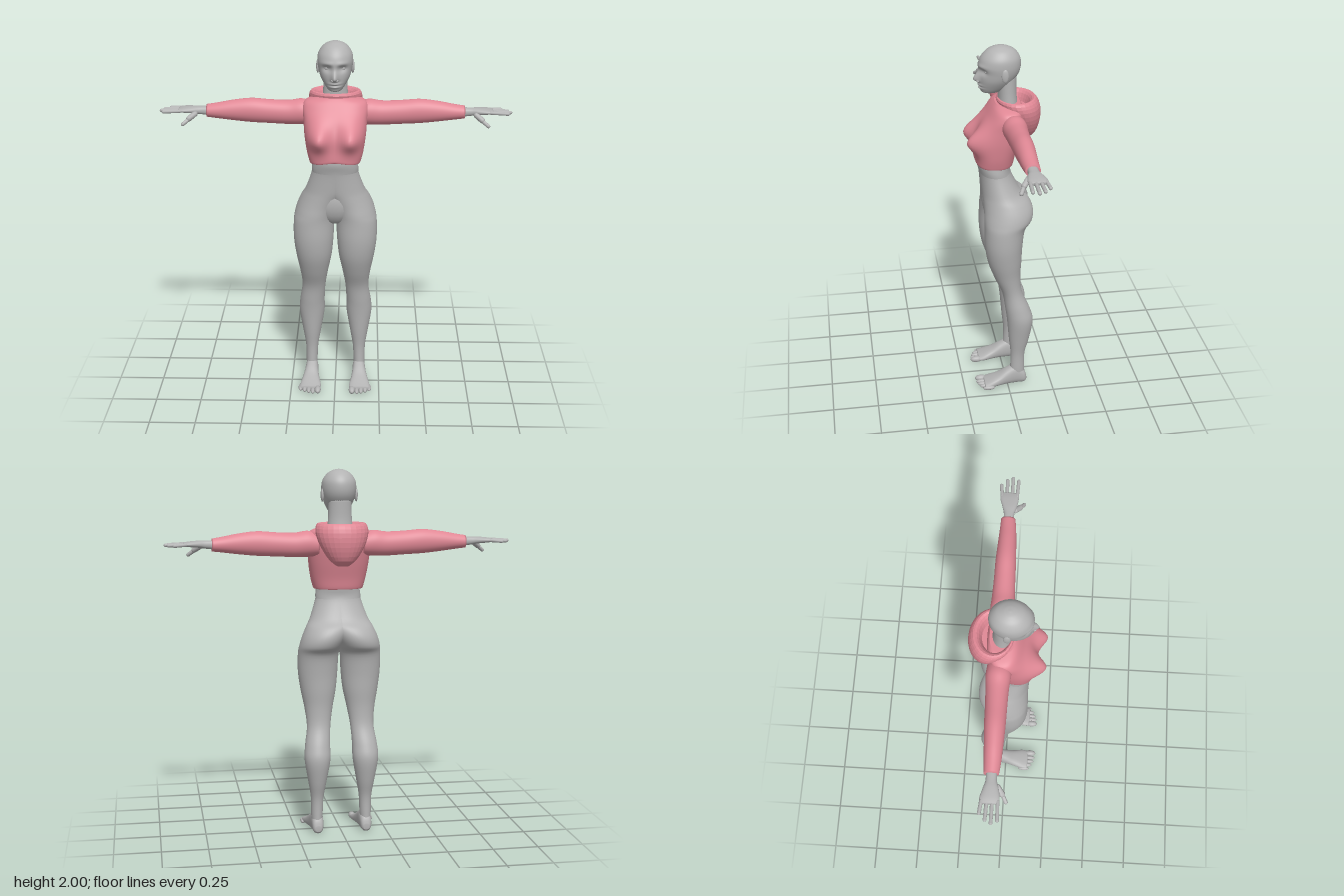
import * as THREE from 'three';

const skin = new THREE.MeshStandardMaterial({ color: 0xb3b3b3 });
skin.name = 'grey body';
const cloth = new THREE.MeshStandardMaterial({ color: 0xe08895 });
cloth.name = 'pink cloth';

// Axis maps from (along, a, b) to x, y, z
const MAP = {
  x: (t, a, b) => [t, a, b], // a = y, b = z
  y: (t, a, b) => [b, t, a], // a = z, b = x
  z: (t, a, b) => [a, b, t], // a = x, b = y
};
const bump = (d, s) => Math.exp(-((d / s) ** 2));

// Smooth closed loft through sections [along, aMin, aMax, bMin, bMax]
function loft(axis, sections, { seg = 36, sub = 5, power = 2, rule } = {}) {
  const at = (i) => sections[Math.min(Math.max(i, 0), sections.length - 1)];
  const rows = [];
  for (let i = 0; i < sections.length - 1; i++) {
    const [p, q, r, s] = [at(i - 1), at(i), at(i + 1), at(i + 2)];
    for (let k = 0; k < sub; k++) {
      const u = k / sub;
      rows.push(q.map((v, c) => v + 0.5 * u * (r[c] - p[c] + u * (2 * p[c] - 5 * v + 4 * r[c] - s[c]
        + u * (3 * (v - r[c]) + s[c] - p[c])))));
    }
  }
  rows.push(at(sections.length));
  // collapsed rings close both ends
  const cap = ([t, a, b, c, d]) => [t, (a + b) / 2, (a + b) / 2, (c + d) / 2, (c + d) / 2];
  rows.unshift(cap(rows[0]));
  rows.push(cap(rows[rows.length - 1]));
  const pos = [], index = [];
  const pw = (v) => Math.sign(v) * Math.abs(v) ** (2 / power);
  rows.forEach(([t, a0, a1, b0, b1], i) => {
    for (let j = 0; j < seg; j++) {
      const w = (j / seg) * Math.PI * 2;
      const a = (a0 + a1) / 2 + pw(Math.cos(w)) * (a1 - a0) / 2;
      const b = (b0 + b1) / 2 + pw(Math.sin(w)) * (b1 - b0) / 2;
      const v = MAP[axis](t, a, b);
      if (rule) rule(v);
      pos.push(...v);
      if (i === rows.length - 1) continue;
      const n = (j + 1) % seg, p = i * seg, q = p + seg;
      index.push(p + j, p + n, q + n, p + j, q + n, q + j);
    }
  });
  const g = new THREE.BufferGeometry();
  g.setAttribute('position', new THREE.Float32BufferAttribute(pos, 3));
  g.setIndex(index);
  g.computeVertexNormals();
  return g;
}

function ball(x, y, z, rx, ry, rz) {
  return new THREE.SphereGeometry(1, 18, 12).scale(rx, ry, rz).translate(x, y, z);
}

// Rounded finger between two points
function finger(from, to, r) {
  const a = new THREE.Vector3(...from), b = new THREE.Vector3(...to), d = b.clone().sub(a);
  const g = new THREE.CapsuleGeometry(r, d.length() - r, 5, 10);
  g.applyQuaternion(new THREE.Quaternion().setFromUnitVectors(new THREE.Vector3(0, 1, 0), d.clone().normalize()));
  const m = a.add(b).multiplyScalar(0.5);
  return g.translate(m.x, m.y, m.z);
}

function mirrored(g) {
  const m = g.clone().scale(-1, 1, 1);
  const ix = m.index.array;
  for (let i = 0; i < ix.length; i += 3) [ix[i], ix[i + 1]] = [ix[i + 1], ix[i]];
  m.computeVertexNormals();
  return m;
}

export function createModel() {
  const model = new THREE.Group();
  model.name = 'figure';
  const add = (name, g, mat) => {
    const mesh = new THREE.Mesh(g, mat);
    mesh.name = name;
    model.add(mesh);
  };
  const pair = (name, g, mat) => {
    add('left' + name, g, mat);
    add('right' + name, mirrored(g), mat);
  };

  // Each leg runs up through its half of the hips to the waist
  pair('LegAndHip', loft('y', [
    [0.05, -0.1, -0.02, 0.11, 0.165], [0.1, -0.098, -0.018, 0.105, 0.168],
    [0.2, -0.1, -0.02, 0.1, 0.17], [0.3, -0.125, -0.01, 0.083, 0.186],
    [0.42, -0.145, 0, 0.063, 0.205], [0.5, -0.125, 0.01, 0.062, 0.2],
    [0.6, -0.085, 0.027, 0.056, 0.186], [0.7, -0.075, 0.07, 0.04, 0.196],
    [0.8, -0.08, 0.105, 0.02, 0.215], [0.9, -0.085, 0.12, 0.01, 0.228],
    [1.0, -0.1, 0.12, 0.004, 0.228], [1.05, -0.138, 0.12, -0.012, 0.221],
    [1.1, -0.147, 0.118, -0.04, 0.206], [1.15, -0.128, 0.12, -0.075, 0.184],
    [1.2, -0.08, 0.125, -0.11, 0.158], [1.3, -0.035, 0.135, -0.125, 0.125],
    [1.36, -0.035, 0.148, -0.12, 0.12], [1.42, -0.04, 0.14, -0.12, 0.12],
  ]), skin);
  add('belly', ball(0, 1.12, 0.045, 0.14, 0.125, 0.074), skin);

  // Feet and toes
  pair('Foot', loft('z', [
    [-0.11, 0.118, 0.152, 0.015, 0.045], [-0.095, 0.106, 0.165, 0.002, 0.085],
    [-0.05, 0.1, 0.17, 0, 0.12], [0, 0.097, 0.176, 0, 0.1],
    [0.05, 0.09, 0.187, 0, 0.068], [0.1, 0.08, 0.198, 0, 0.045], [0.135, 0.083, 0.198, 0.002, 0.032],
  ], { seg: 24, power: 2.4 }), skin);
  for (let i = 0; i < 5; i++) {
    const r = i ? 0.0125 : 0.018;
    pair('Toe' + (i + 1), ball(0.097 + i * 0.0235 + (i ? 0.004 : 0), r, 0.148 - i * i * 0.0022, r, r, 0.034), skin);
  }

  // Neck and head, with the face shaped by soft bumps and hollows
  add('neck', loft('y', [
    [1.6, -0.08, 0.04, -0.08, 0.08], [1.68, -0.073, 0.032, -0.07, 0.07],
    [1.75, -0.067, 0.032, -0.064, 0.064], [1.84, -0.068, 0.04, -0.062, 0.062],
  ]), skin);
  const face = (v) => {
    const [x, y, z] = v;
    if (z < 0.05) return;
    const ax = Math.abs(x);
    v[2] += 0.032 * bump(x, 0.016) * bump(y - 1.822, y > 1.822 ? 0.04 : 0.013)
      - 0.016 * bump(ax - 0.04, 0.024) * bump(y - 1.873, 0.018)
      + 0.006 * bump(ax - 0.04, 0.03) * bump(y - 1.9, 0.012)
      + 0.01 * bump(x, 0.026) * (bump(y - 1.794, 0.007) + bump(y - 1.778, 0.007))
      - 0.005 * bump(x, 0.03) * bump(y - 1.786, 0.004);
  };
  add('head', loft('y', [
    [1.748, 0.05, 0.1, -0.02, 0.02], [1.755, 0.015, 0.118, -0.036, 0.036],
    [1.78, -0.025, 0.125, -0.056, 0.056], [1.82, -0.058, 0.128, -0.078, 0.078],
    [1.86, -0.082, 0.128, -0.089, 0.089], [1.9, -0.09, 0.132, -0.094, 0.094],
    [1.94, -0.084, 0.12, -0.088, 0.088], [1.975, -0.058, 0.09, -0.064, 0.064],
    [1.994, -0.02, 0.053, -0.032, 0.032], [2.0, 0.012, 0.02, -0.004, 0.004],
  ], { seg: 72, sub: 9, rule: face }), skin);
  pair('Eye', ball(0.04, 1.873, 0.093, 0.017, 0.009, 0.012), skin);
  pair('Nostril', ball(0.011, 1.815, 0.134, 0.009, 0.007, 0.011), skin);
  pair('Ear', ball(0.092, 1.862, 0.005, 0.009, 0.036, 0.019).rotateX(0), skin);

  // Hands
  pair('Palm', loft('x', [
    [0.66, 1.58, 1.632, -0.062, -0.005], [0.72, 1.587, 1.63, -0.06, -0.005],
    [0.76, 1.593, 1.63, -0.07, 0.006], [0.81, 1.598, 1.626, -0.084, 0.014],
    [0.84, 1.602, 1.62, -0.08, 0.011],
  ], { seg: 24, power: 2.4 }), skin);
  [[-0.074, 0.892, -0.082], [-0.048, 0.922, -0.052], [-0.022, 0.937, -0.022], [0.004, 0.922, 0.008]]
    .forEach(([z0, x, z1], i) => pair('Finger' + (i + 1), finger([0.82, 1.612, z0], [x, 1.607, z1], 0.0095), skin));
  pair('Thumb', finger([0.745, 1.6, -0.005], [0.785, 1.572, 0.028], 0.015), skin);
  pair('ThumbTip', finger([0.775, 1.577, 0.022], [0.815, 1.547, 0.045], 0.0105), skin);

  // Cropped top with the chest swelling out of the front
  const chest = (v) => {
    const [x, y, z] = v;
    if (z < 0.04) return;
    const side = Math.min((z - 0.04) / 0.06, 1);
    v[2] += 0.068 * side * bump(Math.abs(x) - 0.088, 0.058) * bump(y - 1.5, y > 1.5 ? 0.07 : 0.062);
    v[1] += 0.018 * bump(x, 0.08) * bump(y - 1.355, 0.03);
  };
  add('top', loft('y', [
    [1.355, -0.045, 0.157, -0.135, 0.135], [1.37, -0.05, 0.16, -0.14, 0.14],
    [1.42, -0.06, 0.158, -0.152, 0.152],
    [1.5, -0.082, 0.148, -0.164, 0.164], [1.58, -0.1, 0.125, -0.17, 0.17],
    [1.64, -0.1, 0.088, -0.175, 0.175], [1.675, -0.095, 0.064, -0.158, 0.158],
    [1.695, -0.085, 0.046, -0.095, 0.095],
  ], { seg: 72, sub: 6, power: 2.4, rule: chest }), cloth);

  // Sleeves
  pair('Sleeve', loft('x', [
    [0.12, 1.54, 1.66, -0.09, 0.03], [0.18, 1.535, 1.675, -0.096, 0.032],
    [0.25, 1.535, 1.666, -0.092, 0.025], [0.35, 1.54, 1.669, -0.088, 0.022],
    [0.45, 1.545, 1.676, -0.086, 0.02], [0.55, 1.555, 1.665, -0.08, 0.015],
    [0.63, 1.565, 1.65, -0.075, 0.01], [0.69, 1.572, 1.64, -0.072, 0.003],
  ]), cloth);

  // Faceted hood lying on the back, rolled inward at its rim
  add('hood', loft('y', [
    [1.49, -0.138, -0.1, -0.03, 0.03], [1.52, -0.168, -0.06, -0.07, 0.07],
    [1.57, -0.187, -0.03, -0.105, 0.105], [1.62, -0.195, 0, -0.13, 0.13],
    [1.67, -0.192, 0.025, -0.143, 0.143], [1.705, -0.178, 0.04, -0.138, 0.138],
    [1.718, -0.16, 0.03, -0.122, 0.122], [1.7, -0.14, 0.02, -0.1, 0.1],
    [1.66, -0.125, 0.01, -0.085, 0.085],
  ], { seg: 28, sub: 2 }).toNonIndexed(), cloth);
  const hood = model.getObjectByName('hood').geometry;
  hood.computeVertexNormals();

  return model;
}
